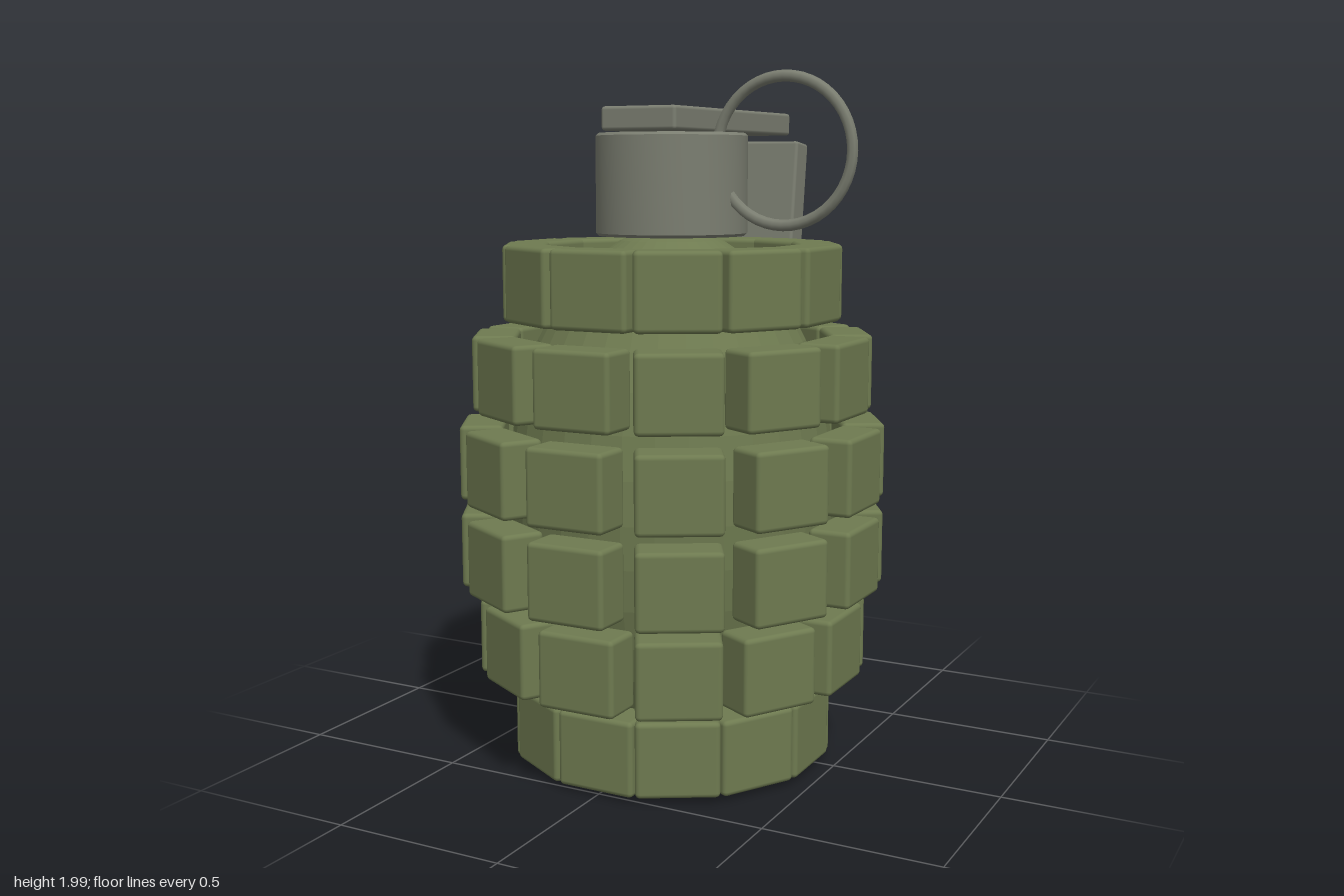
import * as THREE from 'three';
import { RoundedBoxGeometry } from 'three/addons/geometries/RoundedBoxGeometry.js';
import { toCreasedNormals } from 'three/addons/utils/BufferGeometryUtils.js';

const AXIS_Z = 0.065; // body axis sits slightly forward of the origin

export function createModel() {
  const green = new THREE.MeshStandardMaterial({ color: 0x6e7a50 });
  const greenFlat = new THREE.MeshStandardMaterial({ color: 0x6e7a50, flatShading: true });
  const metal = new THREE.MeshStandardMaterial({ color: 0x7b7e71 });

  const model = new THREE.Group();
  model.name = 'grenade';
  const add = (parent, name, geometry, material, x = 0, y = 0, z = 0) => {
    const mesh = new THREE.Mesh(geometry, material);
    mesh.name = name;
    mesh.position.set(x, y, z);
    parent.add(mesh);
    return mesh;
  };

  // Egg-shaped core
  const core = new THREE.SphereGeometry(1, 32, 20).scale(0.48, 0.78, 0.48);
  add(model, 'core', core, greenFlat, 0, 0.79, AXIS_Z);

  // Six rows of twelve segments, given by the outer radius of each row
  const depth = 0.125;
  const block = new RoundedBoxGeometry(0.235, 0.217, depth, 2, 0.014);
  [0.46, 0.56, 0.61, 0.61, 0.57, 0.48].forEach((radius, row) => {
    const ring = new THREE.Group();
    ring.name = `segmentRow${row + 1}`;
    ring.position.set(0, 0.133 + row * 0.2565, AXIS_Z);
    for (let i = 0; i < 12; i++) {
      const a = (i * Math.PI) / 6;
      const r = radius - depth / 2;
      add(ring, 'segment', block, green, r * Math.sin(a), 0, r * Math.cos(a)).rotation.y = a;
    }
    model.add(ring);
  });

  // Fuse cap with softened rims
  const capProfile = [[0, 1.545], [0.21, 1.545], [0.218, 1.553], [0.218, 1.827], [0.21, 1.835], [0, 1.835]]
    .map(([r, y]) => new THREE.Vector2(r, y));
  add(model, 'fuseCap', toCreasedNormals(new THREE.LatheGeometry(capProfile, 40), 0.6), metal, 0, 0, AXIS_Z);

  // Safety lever: flat top plate and slanted arm down the back
  add(model, 'leverTop', new RoundedBoxGeometry(0.235, 0.067, 0.77, 2, 0.01), metal, 0, 1.872, -0.12);
  const arm = add(model, 'leverArm', new RoundedBoxGeometry(0.22, 1.37, 0.087, 2, 0.01), metal, 0, 1.139, -0.538);
  arm.rotation.x = -0.128;

  // Pull ring
  add(model, 'pullRing', new THREE.TorusGeometry(0.202, 0.016, 8, 48), metal, 0.365, 1.782, 0.1);

  return model;
}
